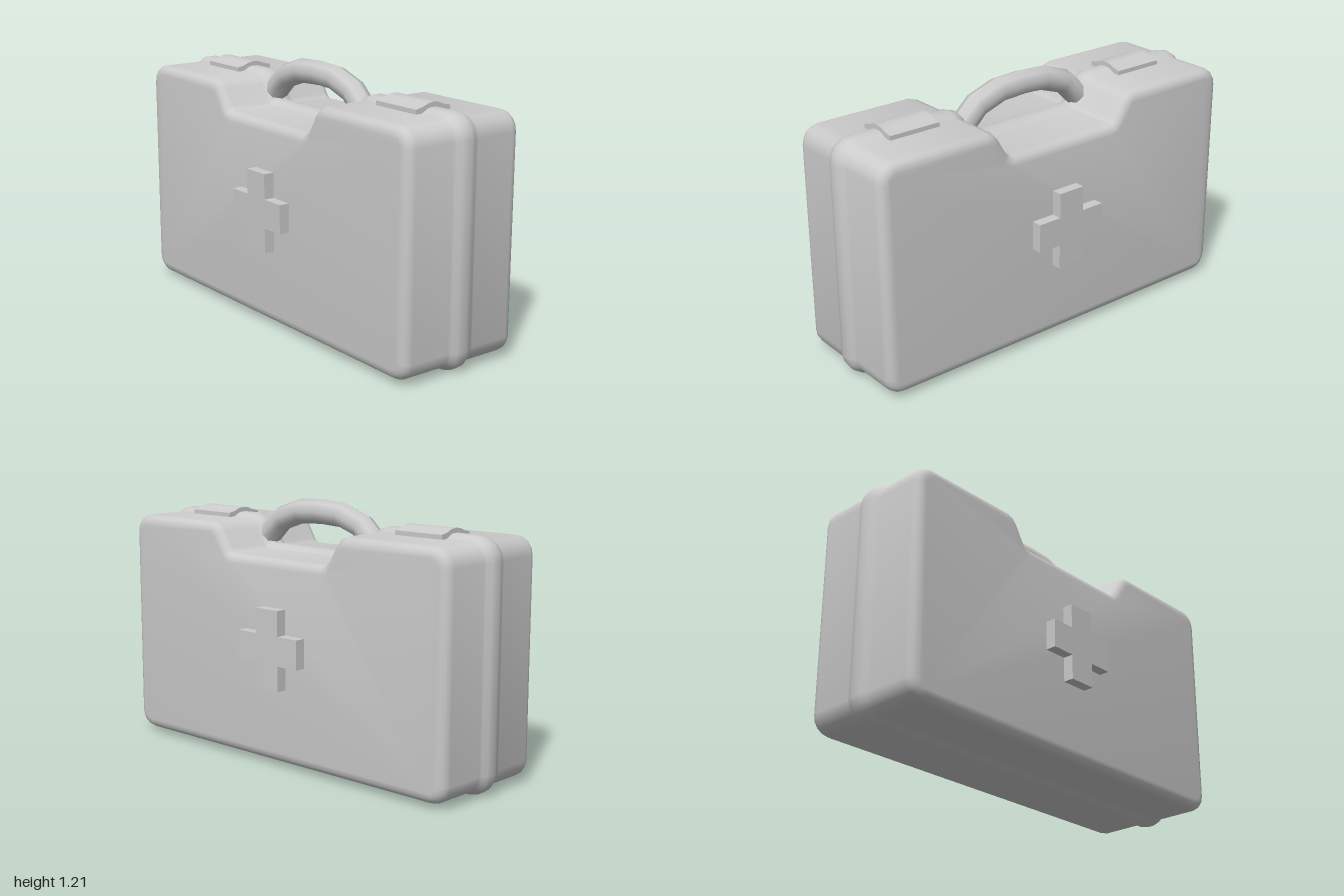
import * as THREE from 'three';
import { toCreasedNormals } from 'three/addons/utils/BufferGeometryUtils.js';

const material = new THREE.MeshStandardMaterial({ color: 0xcccccc });

function addMesh(parent, name, geometry) {
  const mesh = new THREE.Mesh(geometry, material);
  mesh.name = name;
  parent.add(mesh);
  return mesh;
}

// Closed outline of the case, counter-clockwise, with a recess under the handle
function caseOutline() {
  const right = [];
  const corner = (cx, cy, r, start) => {
    for (let i = 0; i <= 4; i++) {
      const a = start + (i / 4) * Math.PI / 2;
      right.push([cx + r * Math.cos(a), cy + r * Math.sin(a)]);
    }
  };
  corner(0.895, 0.107, 0.085, -Math.PI / 2);
  corner(0.895, 1.015, 0.085, 0);
  right.push([0.42, 1.1], [0.385, 1.088], [0.36, 1.06], [0.315, 0.985], [0.3, 0.97], [0.28, 0.966]);
  const left = right.map(([x, y]) => [-x, y]).reverse();
  return [...right, ...left].map(([x, y]) => new THREE.Vector2(x, y));
}

// Moves each corner of a closed outline outwards by d, keeping the sides parallel
function offsetOutline(points, d) {
  const n = points.length;
  const normal = (a, b) => new THREE.Vector2(b.y - a.y, a.x - b.x).normalize();
  return points.map((p, i) => {
    const n1 = normal(points[(i + n - 1) % n], p);
    const n2 = normal(p, points[(i + 1) % n]);
    const miter = n1.clone().add(n2).divideScalar(1 + n1.dot(n2));
    return p.clone().addScaledVector(miter, d);
  });
}

// Lofts the outline from back to front: rounded rims and a raised seam
function caseGeometry() {
  const outline = caseOutline();
  const n = outline.length;
  const half = [];
  for (let i = 0; i <= 4; i++) {
    const a = (i / 4) * Math.PI / 2;
    half.push([0.265 + 0.045 * Math.cos(a), -0.045 + 0.045 * Math.sin(a)]);
  }
  half.push([0.068, 0], [0.055, 0.004], [0.032, 0.017], [0.015, 0.021]);
  const sections = [...half.map(([z, d]) => [-z, d]), ...half.reverse()];

  const positions = [];
  const index = [];
  for (const [z, d] of sections) {
    for (const p of offsetOutline(outline, d)) positions.push(p.x, p.y, z);
  }
  for (let s = 0; s < sections.length - 1; s++) {
    for (let i = 0; i < n; i++) {
      const a = s * n + i, b = s * n + (i + 1) % n;
      index.push(a, b, b + n, a, b + n, a + n);
    }
  }
  // Flat front and back faces
  const last = (sections.length - 1) * n;
  for (const [a, b, c] of THREE.ShapeUtils.triangulateShape(offsetOutline(outline, -0.045), [])) {
    index.push(last + a, last + b, last + c, a, c, b);
  }
  const geometry = new THREE.BufferGeometry();
  geometry.setAttribute('position', new THREE.Float32BufferAttribute(positions, 3));
  geometry.setIndex(index);
  return toCreasedNormals(geometry, 0.65);
}

// Curved strap that follows the seam, extruded along x
function latchGeometry(width) {
  const top = [[-0.095, 1.12], [-0.06, 1.127], [-0.03, 1.139], [0, 1.143], [0.03, 1.139], [0.06, 1.127], [0.095, 1.12]];
  const bottom = [[0.095, 1.1], [-0.095, 1.1]];
  const shape = new THREE.Shape([...top, ...bottom].map(([z, y]) => new THREE.Vector2(z, y)));
  const geometry = new THREE.ExtrudeGeometry(shape, { depth: width, bevelEnabled: false });
  geometry.translate(0, 0, -width / 2).rotateY(Math.PI / 2);
  return toCreasedNormals(geometry, 0.6);
}

// Plus-shaped plate
function crossGeometry(depth) {
  const a = 0.185, b = 0.068;
  const corners = [[b, -a], [b, -b], [a, -b], [a, b], [b, b], [b, a],
    [-b, a], [-b, b], [-a, b], [-a, -b], [-b, -b], [-b, -a]];
  const shape = new THREE.Shape(corners.map(([x, y]) => new THREE.Vector2(x, y)));
  return new THREE.ExtrudeGeometry(shape, { depth, bevelEnabled: false });
}

export function createModel() {
  const model = new THREE.Group();
  model.name = 'firstAidCase';

  addMesh(model, 'caseBody', caseGeometry());

  // Arched carrying handle, ends sunk into the recess slopes
  const path = [[-0.345, 1.02], [-0.265, 1.1], [-0.145, 1.147], [0, 1.157],
    [0.145, 1.147], [0.265, 1.1], [0.345, 1.02]];
  const curve = new THREE.CatmullRomCurve3(path.map(([x, y]) => new THREE.Vector3(x, y, 0)));
  addMesh(model, 'handle', new THREE.TubeGeometry(curve, 6, 0.058, 8, false));

  // Latches on either side of the handle
  for (const [name, side] of [['leftLatch', 1], ['rightLatch', -1]]) {
    addMesh(model, name, latchGeometry(0.255)).position.x = side * 0.652;
  }

  // Raised crosses on the front and back
  addMesh(model, 'frontCross', crossGeometry(0.06)).position.set(0, 0.56, 0.3);
  addMesh(model, 'backCross', crossGeometry(0.06)).position.set(0, 0.56, -0.36);

  return model;
}
